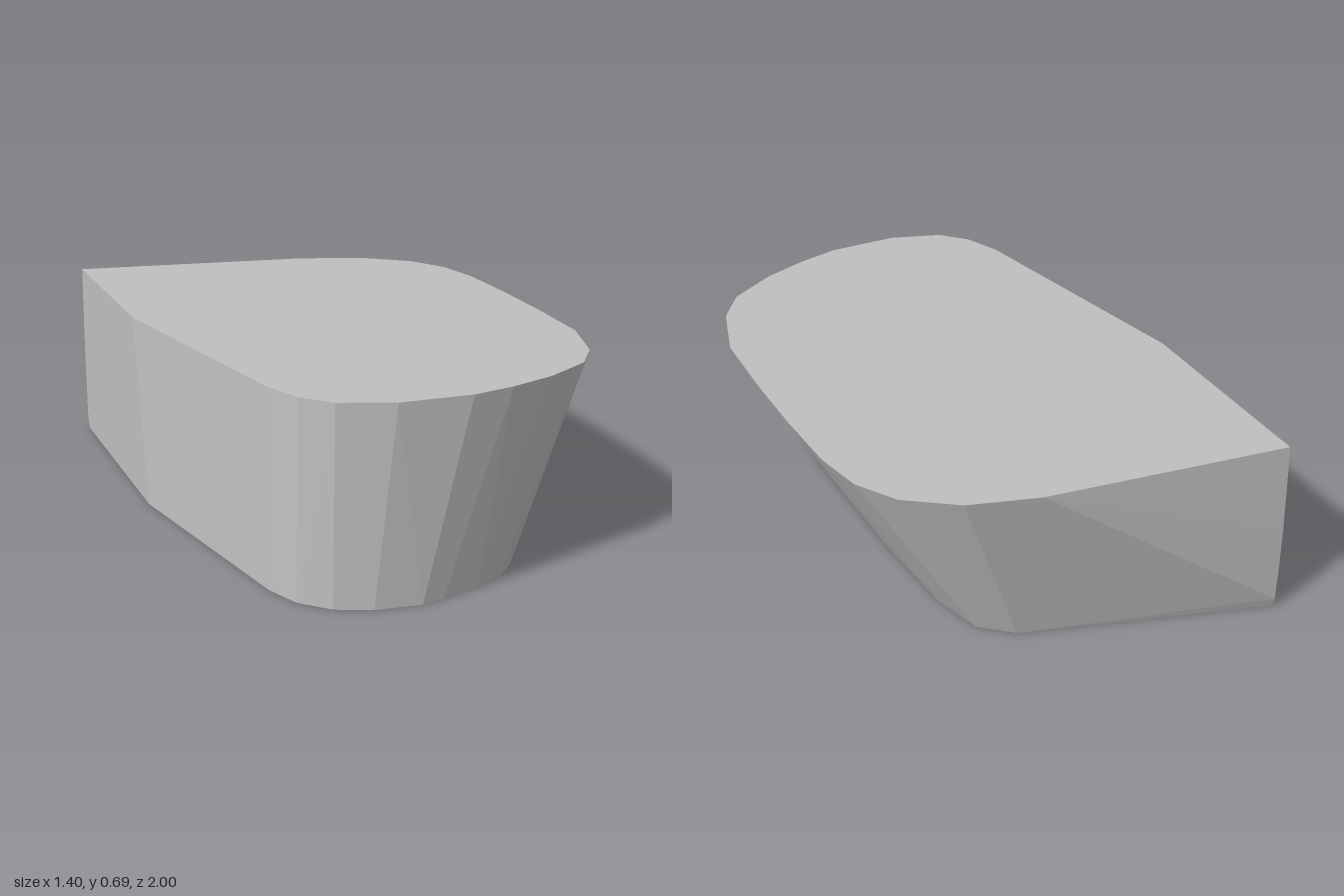
import * as THREE from 'three';
import { ConvexGeometry } from 'three/addons/geometries/ConvexGeometry.js';

// Outlines as [x, z], running round from the back left corner
const TOP_Y = 0.69;
const topOutline = [
  [-0.70, -0.96], [0.16, -0.78], [0.40, -0.69], [0.57, -0.56], [0.655, -0.42],
  [0.69, -0.25], [0.70, 0.0], [0.70, 0.25], [0.69, 0.53], [0.62, 0.74],
  [0.53, 0.85], [0.36, 0.93], [0.20, 0.97], [0.05, 0.99], [-0.20, 0.965],
  [-0.38, 0.89], [-0.465, 0.80], [-0.52, 0.67], [-0.70, -0.23],
];
const bottomOutline = [
  [-0.70, -0.99], [0.17, -0.66], [0.28, -0.56], [0.33, -0.37], [0.35, 0.0],
  [0.35, 0.58], [0.33, 0.74], [0.28, 0.85], [0.20, 0.92], [0.10, 0.96],
  [-0.04, 0.99], [-0.12, 1.0], [-0.28, 0.975], [-0.40, 0.92], [-0.49, 0.83],
  [-0.54, 0.71], [-0.70, -0.12],
];
// The back corner edge bows slightly outwards: [y, z]
const backEdge = [[0.04, -1.0], [0.20, -0.996], [0.35, -0.988], [0.52, -0.975]];

export function createModel() {
  const model = new THREE.Group();
  model.name = 'model';
  const grey = new THREE.MeshStandardMaterial({ color: 0xbfbfbf });
  grey.name = 'light grey';

  // Faceted solid stretched between the two outlines
  const points = [
    ...topOutline.map(([x, z]) => new THREE.Vector3(x, TOP_Y, z)),
    ...bottomOutline.map(([x, z]) => new THREE.Vector3(x, 0, z)),
    ...backEdge.map(([y, z]) => new THREE.Vector3(-0.70, y, z)),
  ];
  const block = new THREE.Mesh(new ConvexGeometry(points), grey);
  block.name = 'slantedBlock';
  model.add(block);
  return model;
}
